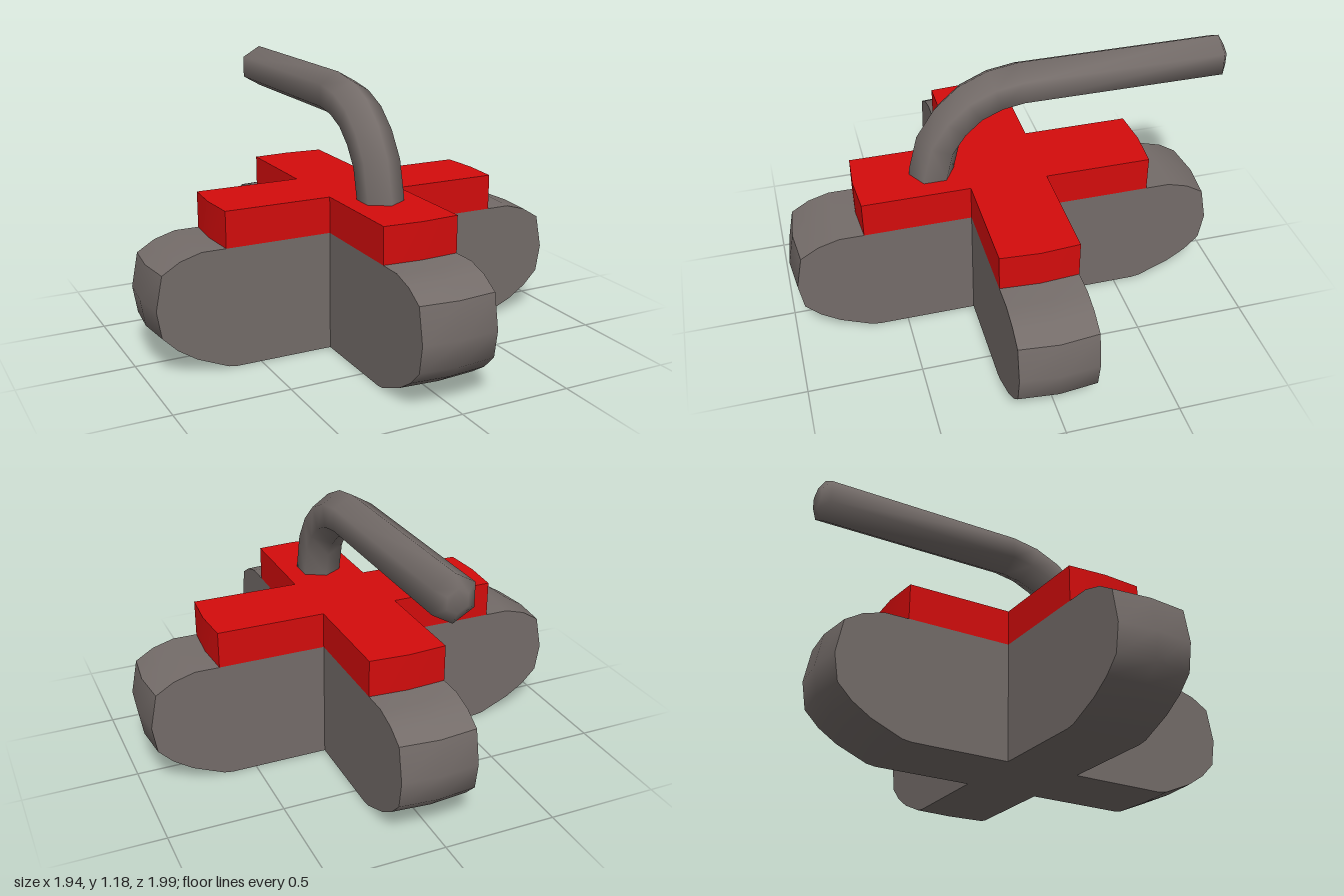
import * as THREE from 'three';
import { toCreasedNormals } from 'three/addons/utils/BufferGeometryUtils.js';

const HALF = 0.17; // half the width of each arm
const grey = new THREE.MeshStandardMaterial({ color: 0x746c69 });
const red = new THREE.MeshStandardMaterial({ color: 0xd40c0c });

// One arm of a cross: a side profile swept across the arm, with a slightly
// bowed outer end and an inner end pointed so four arms meet at the centre.
function armGeometry(profile) {
  const shape = new THREE.Shape(profile.map(([u, y]) => new THREE.Vector2(u, y)));
  const geo = new THREE.ExtrudeGeometry(shape, { depth: 2 * HALF, steps: 2, bevelEnabled: false });
  geo.translate(0, 0, -HALF);
  const p = geo.attributes.position;
  for (let i = 0; i < p.count; i++) {
    const u = p.getX(i), s = p.getZ(i);
    p.setX(i, u === 0 ? Math.abs(s) : u * (1 - 0.018 * (s / HALF) ** 2));
  }
  return toCreasedNormals(geo, 0.7);
}

function cross(name, profile, material) {
  const group = new THREE.Group();
  group.name = name;
  const geo = armGeometry(profile);
  for (let k = 0; k < 4; k++) {
    const arm = new THREE.Mesh(geo, material);
    arm.name = name + 'Arm' + (k + 1);
    arm.rotation.y = k * Math.PI / 2;
    group.add(arm);
  }
  group.position.z = 0.02;
  return group;
}

// Six-sided bent rod; each station is [z, y, radius].
function handleGeometry(stations) {
  const sides = 6, pos = [], index = [];
  stations.forEach(([z, y, r], i) => {
    const a = stations[Math.max(i - 1, 0)], b = stations[Math.min(i + 1, stations.length - 1)];
    const len = Math.hypot(b[0] - a[0], b[1] - a[1]);
    const tz = (b[0] - a[0]) / len, ty = (b[1] - a[1]) / len;
    for (let j = 0; j < sides; j++) {
      const t = j * Math.PI * 2 / sides;
      const out = r * Math.cos(t); // away from the inside of the bend
      pos.push(r * Math.sin(t), y - tz * out, z + ty * out);
    }
  });
  for (let i = 0; i < stations.length - 1; i++) {
    for (let j = 0; j < sides; j++) {
      const a = i * sides + j, b = i * sides + (j + 1) % sides;
      index.push(a, b, a + sides, b, b + sides, a + sides);
    }
  }
  // Cap on the free end
  const last = (stations.length - 1) * sides;
  for (let j = 1; j < sides - 1; j++) index.push(last, last + j, last + j + 1);
  const geo = new THREE.BufferGeometry();
  geo.setAttribute('position', new THREE.Float32BufferAttribute(pos, 3));
  geo.setIndex(index);
  geo.computeVertexNormals();
  return geo;
}

export function createModel() {
  const model = new THREE.Group();
  model.name = 'crossHandle';

  // Rounded cross-shaped base
  model.add(cross('base', [
    [0, 0], [0.62, 0], [0.66, 0.006], [0.8, 0.065], [0.885, 0.12], [0.95, 0.185],
    [0.97, 0.305], [0.94, 0.455], [0.86, 0.503], [0.765, 0.53], [0, 0.53],
  ], grey));

  // Flat red cross on top
  model.add(cross('topPlate', [[0, 0.53], [0.656, 0.53], [0.656, 0.69], [0, 0.69]], red));

  // Bent handle reaching towards the back
  const handle = new THREE.Mesh(handleGeometry([
    [0.335, 0.6, 0.1], [0.327, 0.7, 0.1], [0.293, 0.84, 0.1], [0.227, 0.94, 0.1],
    [0.143, 1.015, 0.1], [0.04, 1.06, 0.1], [-0.07, 1.078, 0.1],
    [-0.97, 1.078, 0.1], [-1, 1.078, 0.05],
  ]), grey);
  handle.name = 'handle';
  model.add(handle);
  return model;
}
